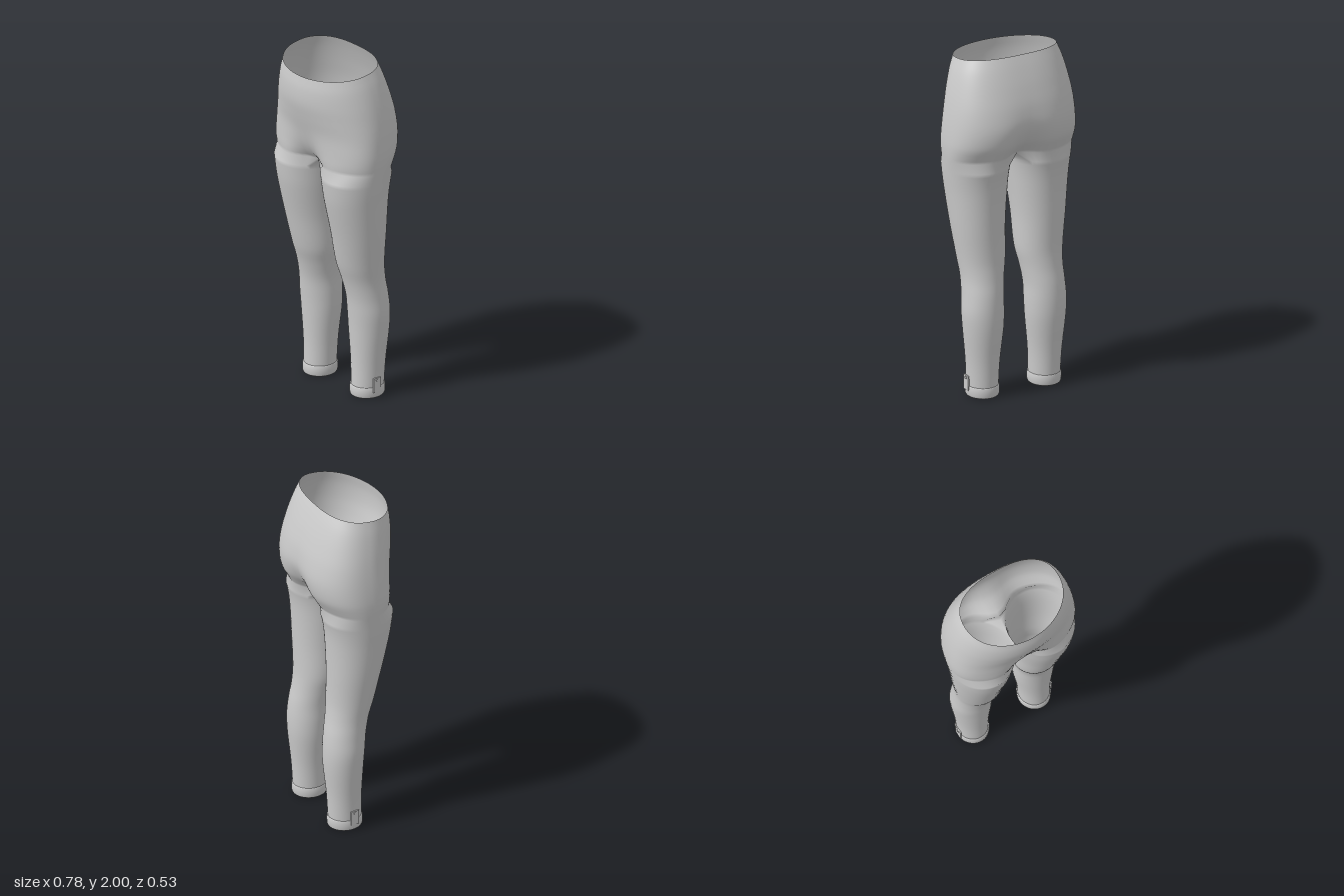
import * as THREE from 'three';
import { mergeVertices } from 'three/addons/utils/BufferGeometryUtils.js';

const OUT = 40, INN = 14; // points on the outer sweep and on the inner thigh
const material = new THREE.MeshStandardMaterial({ color: 0xcccccc, side: THREE.DoubleSide });

// Torso: y, half width, z of widest point, front z, back z, front dip, back dip, front and back fullness
const TORSO = [
  [1.975, 0.298, 0.03, 0.260, -0.160, 0, 0, 2.0, 2.5],
  [1.90, 0.325, 0.02, 0.270, -0.190, 0, 0, 2.0, 2.5],
  [1.80, 0.351, 0.01, 0.268, -0.226, 0, 0, 2.0, 2.5],
  [1.70, 0.370, 0.00, 0.250, -0.256, 0, 0.004, 2.1, 2.5],
  [1.60, 0.383, 0.00, 0.228, -0.270, 0.004, 0.016, 2.25, 2.5],
  [1.50, 0.390, 0.00, 0.220, -0.256, 0.028, 0.046, 2.4, 2.5],
  [1.44, 0.389, 0.00, 0.220, -0.228, 0.062, 0.075, 2.4, 2.4],
  [1.40, 0.386, 0.00, 0.220, -0.208, 0.100, 0.100, 2.3, 2.3],
];
// Leg: y, inner x, outer x, front z, back z
const LEG = [
  [1.40, -0.004, 0.386, 0.220, -0.206],
  [1.30, 0.010, 0.377, 0.210, -0.182],
  [1.20, 0.020, 0.366, 0.195, -0.170],
  [1.00, 0.038, 0.345, 0.150, -0.161],
  [0.80, 0.046, 0.319, 0.105, -0.159],
  [0.70, 0.064, 0.309, 0.074, -0.168],
  [0.60, 0.077, 0.312, 0.052, -0.184],
  [0.50, 0.078, 0.318, 0.042, -0.192],
  [0.40, 0.082, 0.312, 0.035, -0.190],
  [0.20, 0.102, 0.292, 0.026, -0.170],
  [0.03, 0.109, 0.283, 0.027, -0.160],
];

// Smooth interpolation of a table row at height y
function sample(table, y) {
  let i = 0;
  while (i < table.length - 2 && y < table[i + 1][0]) i++;
  const slope = (k, c) => {
    const a = table[Math.max(k - 1, 0)], b = table[Math.min(k + 1, table.length - 1)];
    return (b[c] - a[c]) / (b[0] - a[0]);
  };
  const p = table[i], q = table[i + 1], h = q[0] - p[0], t = (y - p[0]) / h;
  return p.map((v, c) => c === 0 ? y :
    (2 * t ** 3 - 3 * t * t + 1) * v + (t ** 3 - 2 * t * t + t) * h * slope(i, c) +
    (3 * t * t - 2 * t ** 3) * q[c] + (t ** 3 - t * t) * h * slope(i + 1, c));
}

// Open half section from centre front, round the hip, to centre back
function torsoRing(y0) {
  const [, w, zm, zf, zb, df, db, nf, nb] = sample(TORSO, y0);
  const tilt = 0.14 * THREE.MathUtils.smoothstep(y0, 1.6, 1.975);
  return Array.from({ length: OUT + 1 }, (_, k) => {
    const f = Math.PI * k / OUT, c = Math.cos(f), front = c >= 0;
    const e = 2 / (front ? nf : nb);
    const x = w * Math.max(Math.sin(f), 0) ** e;
    const dip = Math.exp(-((x / 0.1) ** 2));
    const z = front ? zm + (zf - zm) * c ** e - df * dip : zm + (zb - zm) * (-c) ** e + db * dip;
    return [k === 0 || k === OUT ? 0 : x, y0 - tilt * (z - 0.02), z];
  });
}

// Closed leg section, starting at the front inner thigh
function legRing(y, grow = 0) {
  const [, xi, xo, zf, zb] = sample(LEG, Math.max(y, 0.03));
  const cx = (xi + xo) / 2, cz = (zf + zb) / 2, d = Math.PI / 4;
  return Array.from({ length: OUT + INN }, (_, k) => {
    const a = k <= OUT ? -d + (Math.PI + 2 * d) * k / OUT : Math.PI + d + (Math.PI - 2 * d) * (k - OUT) / INN;
    return [cx + ((xo - xi) / 2 + grow) * Math.sin(a), y, cz + ((zf - zb) / 2 + grow) * Math.cos(a)];
  });
}

// Leg top: the lowest torso section closed by a sagging crotch seam
function crotchRing() {
  const ring = torsoRing(1.40), z0 = ring[OUT][2], z1 = ring[0][2];
  for (let k = 1; k < INN; k++) {
    const t = k / INN;
    ring.push([0, 1.40 - 0.035 * Math.sin(Math.PI * t), z0 + (z1 - z0) * t]);
  }
  return ring;
}

// Skin a stack of rings listed from top to bottom
function loft(out, rings, closed, side) {
  for (let j = 0; j < rings.length - 1; j++) {
    const n = rings[j].length;
    for (let k = 0; k < (closed ? n : n - 1); k++) {
      const m = (k + 1) % n;
      const a = rings[j][k], b = rings[j][m], c = rings[j + 1][k], d = rings[j + 1][m];
      for (const t of side > 0 ? [a, c, b, b, c, d] : [a, b, c, b, d, c]) out.push(t[0] * side, t[1], t[2]);
    }
  }
}

function skinMesh(name, positions) {
  let g = new THREE.BufferGeometry();
  g.setAttribute('position', new THREE.Float32BufferAttribute(positions, 3));
  g = mergeVertices(g, 1e-5);
  g.computeVertexNormals();
  const mesh = new THREE.Mesh(g, material);
  mesh.name = name;
  return mesh;
}

const steps = (from, to, n) => Array.from({ length: n + 1 }, (_, i) => from + (to - from) * i / n);

export function createModel() {
  const model = new THREE.Group();
  model.name = 'leggings';

  // Hips and both legs as one continuous skin
  const skin = [];
  const torso = steps(1.975, 1.40, 28).map(torsoRing);
  const legs = [crotchRing(), ...steps(1.345, 0.03, 56).map((y) => legRing(y))];
  for (const side of [1, -1]) {
    loft(skin, torso, false, side);
    loft(skin, legs, true, side);
  }
  model.add(skinMesh('leggingsBody', skin));

  for (const side of [1, -1]) {
    const prefix = side > 0 ? 'left' : 'right';

    // Turned hem band round the ankle
    const band = [];
    loft(band, [[0.064, 0], [0.060, 0.005], [0.035, 0.007], [0.012, 0.006], [0.004, 0.002], [0, -0.003], [0.03, -0.004]]
      .map(([y, grow]) => legRing(y, grow)), true, side);
    model.add(skinMesh(prefix + 'AnkleCuff', band));

    // Button tab on the outer ankle
    const tab = new THREE.Group();
    tab.name = prefix + 'AnkleTab';
    const strap = new THREE.Mesh(new THREE.BoxGeometry(0.008, 0.085, 0.05), material);
    strap.name = prefix + 'TabStrap';
    const button = new THREE.Mesh(new THREE.CylinderGeometry(0.009, 0.009, 0.005, 16), material);
    button.name = prefix + 'TabButton';
    button.rotation.z = Math.PI / 2;
    button.position.set(side * 0.006, 0.03, 0);
    tab.add(strap, button);
    tab.position.set(side * 0.289, 0.08, -0.055);
    model.add(tab);
  }
  return model;
}
